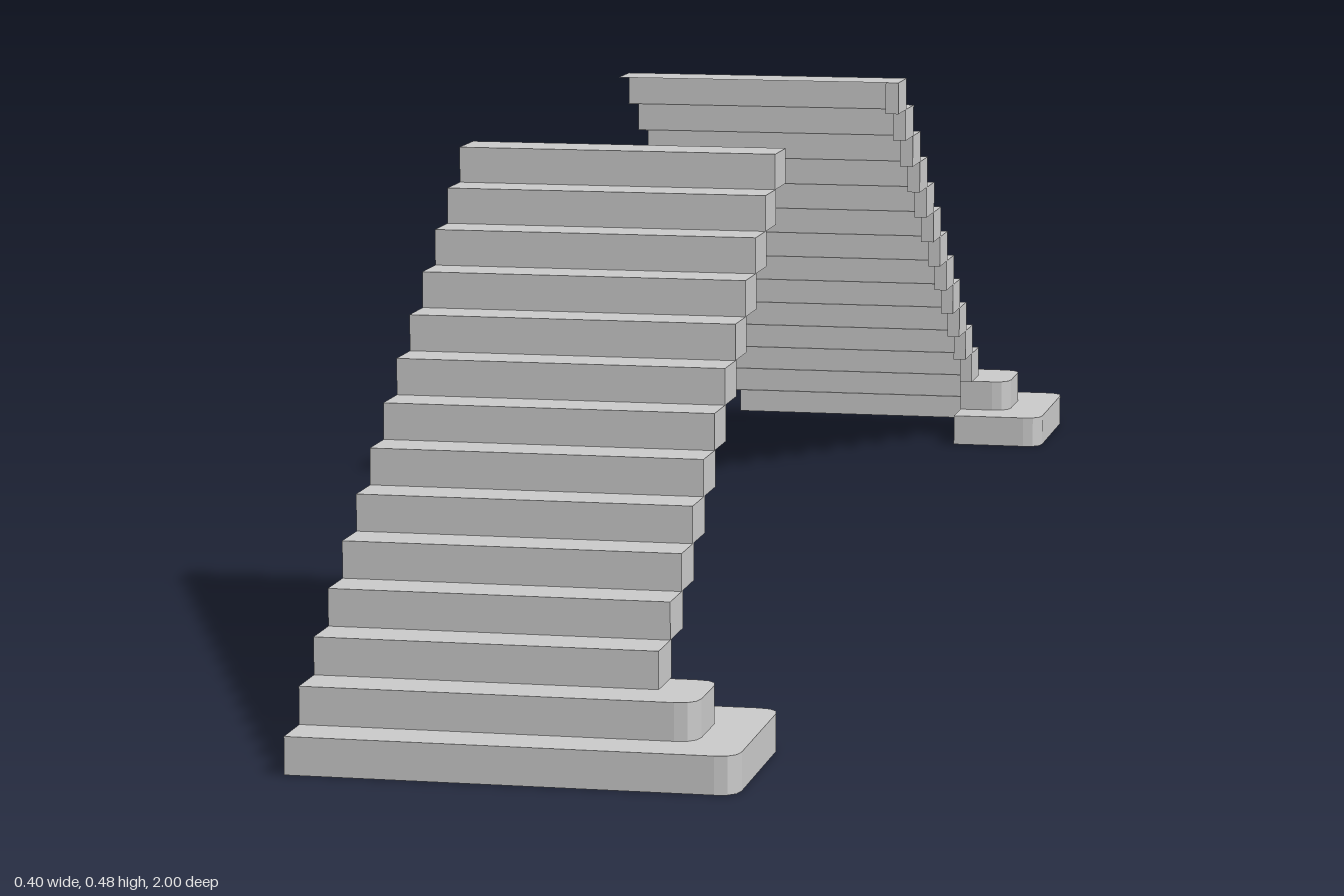
import * as THREE from 'three';

const STEPS = 14, RISE = 0.478 / STEPS, PITCH = 0.048, DEPTH = 0.053;
const X0 = -0.2, XCAP = 0.097, X1 = 0.111;
const CURLS = [{ x: 0.2, back: 0.807 }, { x: 0.155, back: 0.857 }];

const solid = new THREE.MeshStandardMaterial({ color: 0xcccccc });
const sheet = new THREE.MeshStandardMaterial({ color: 0xcccccc, side: THREE.DoubleSide });

function addMesh(parent, name, geometry, material) {
  const mesh = new THREE.Mesh(geometry, material);
  mesh.name = name;
  parent.add(mesh);
  return mesh;
}

// Solid block with a rounded free end, for the two lowest steps
function curlGeometry(front, side, curl) {
  const s = new THREE.Shape(), r = 0.02;
  const y = z => -side * z; // plan y becomes -z once laid flat
  s.moveTo(XCAP, y(front));
  s.lineTo(curl.x - r, y(front));
  s.quadraticCurveTo(curl.x, y(front), curl.x, y(front - r));
  s.lineTo(curl.x, y(curl.back + r));
  s.quadraticCurveTo(curl.x, y(curl.back), curl.x - r, y(curl.back));
  s.lineTo(XCAP, y(curl.back));
  s.closePath();
  const g = new THREE.ExtrudeGeometry(s, { depth: RISE, bevelEnabled: false, curveSegments: 3 });
  return g.rotateX(-Math.PI / 2);
}

function createStaircase(side) {
  const stair = new THREE.Group();
  const width = XCAP - X0, midX = (XCAP + X0) / 2;
  for (let i = 0; i < STEPS; i++) {
    const front = 1 - i * PITCH, y = i * RISE, midZ = side * (front - DEPTH / 2);

    // Thin riser and tread, open underneath
    const riser = addMesh(stair, 'riser', new THREE.PlaneGeometry(width, RISE), sheet);
    riser.position.set(midX, y + RISE / 2, side * front);
    if (side < 0) riser.rotation.y = Math.PI;
    const tread = addMesh(stair, 'tread', new THREE.PlaneGeometry(width, DEPTH).rotateX(-Math.PI / 2), sheet);
    tread.position.set(midX, y + RISE, midZ);

    // Solid end of the step
    if (CURLS[i]) {
      addMesh(stair, 'curledEnd', curlGeometry(front, side, CURLS[i]), solid).position.y = y;
    } else {
      const cap = addMesh(stair, 'stepEnd', new THREE.BoxGeometry(X1 - XCAP, RISE, DEPTH), solid);
      cap.position.set((X1 + XCAP) / 2, y + RISE / 2, midZ);
    }
  }
  return stair;
}

export function createModel() {
  const model = new THREE.Group();
  model.name = 'pairedStaircases';
  // Two facing flights, mirrored front to back
  for (const [side, name] of [[1, 'frontStaircase'], [-1, 'backStaircase']]) {
    const stair = createStaircase(side);
    stair.name = name;
    model.add(stair);
  }
  return model;
}
